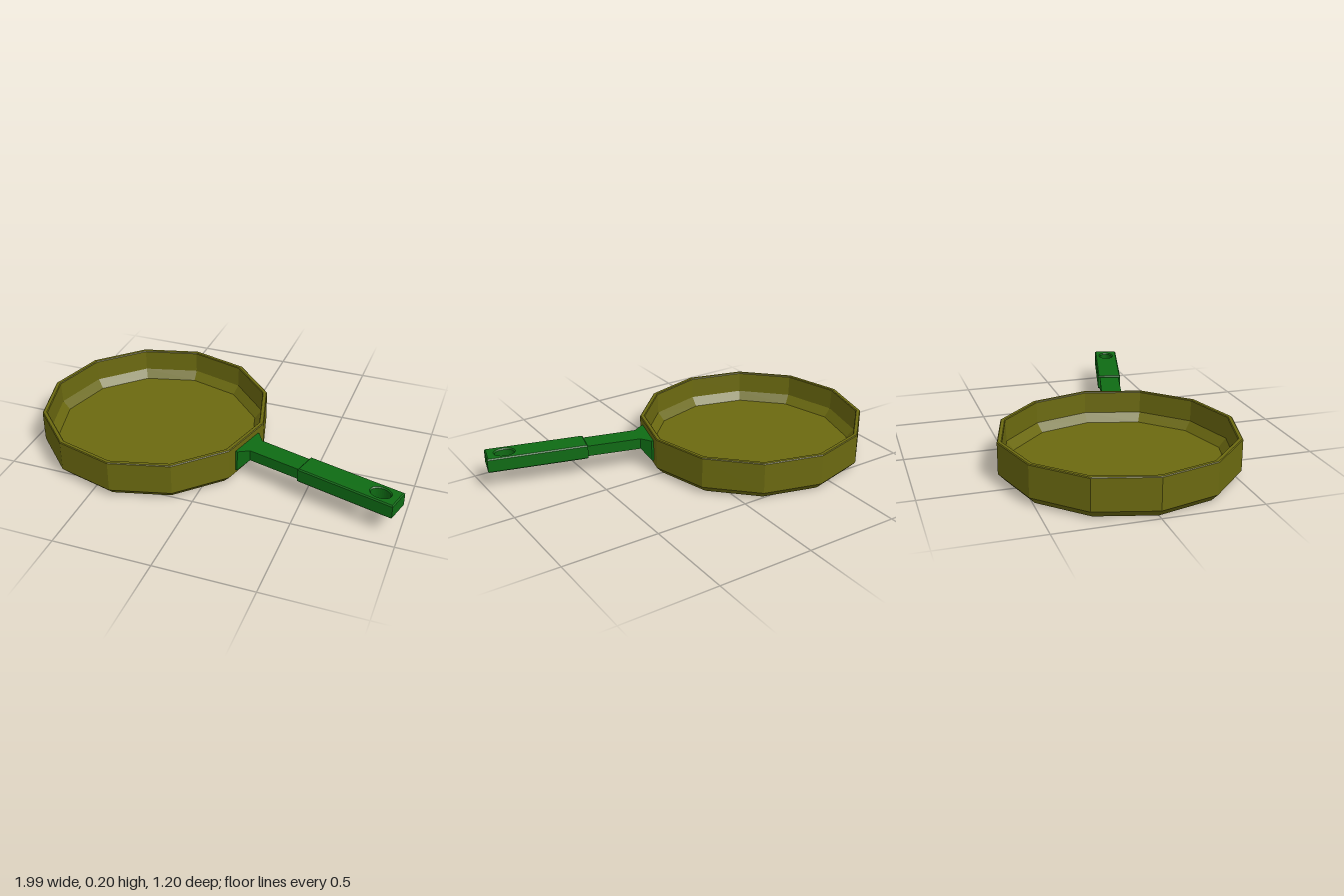
import * as THREE from 'three';

const panMat = new THREE.MeshStandardMaterial({ color: 0x6b6910, flatShading: true });
const handleMat = new THREE.MeshStandardMaterial({ color: 0x0f6b14, flatShading: true });

function part(name, geometry, material) {
  const mesh = new THREE.Mesh(geometry, material);
  mesh.name = name;
  return mesh;
}

// Closed loft along x through rectangles [x, halfWidth, yBottom, yTop]
function loftRects(sections) {
  const pos = [], index = [];
  for (const [x, w, y0, y1] of sections) {
    pos.push(x, y0, w, x, y0, -w, x, y1, -w, x, y1, w);
  }
  const last = (sections.length - 1) * 4;
  for (let i = 0; i < last; i += 4) {
    for (let j = 0; j < 4; j++) {
      const k = (j + 1) % 4;
      index.push(i + j, i + k, i + 4 + k, i + j, i + 4 + k, i + 4 + j);
    }
  }
  index.push(0, 2, 1, 0, 3, 2, last, last + 1, last + 2, last, last + 2, last + 3);
  const g = new THREE.BufferGeometry();
  g.setAttribute('position', new THREE.Float32BufferAttribute(pos, 3));
  g.setIndex(index);
  const flat = g.toNonIndexed();
  flat.computeVertexNormals();
  return flat;
}

// Rounded-edge grip with a hanging hole near its end
function gripGeometry() {
  const bevel = 0.006, x0 = 0.917, x1 = 1.427, w = 0.064, y0 = 0.1, y1 = 0.176;
  const a = x0 + bevel, b = x1 - bevel, h = w - bevel;
  const shape = new THREE.Shape();
  shape.moveTo(a, -h).lineTo(b, -h).lineTo(b, h).lineTo(a, h).closePath();
  const hole = new THREE.Path();
  hole.absellipse(1.333, 0, 0.05 + bevel, 0.037 + bevel, 0, Math.PI * 2, true);
  shape.holes.push(hole);
  const g = new THREE.ExtrudeGeometry(shape, {
    depth: y1 - y0 - 2 * bevel, bevelEnabled: true, bevelSize: bevel,
    bevelThickness: bevel, bevelSegments: 1, curveSegments: 16,
  });
  g.rotateX(Math.PI / 2);
  g.translate(0, y1 - bevel, 0);
  return g;
}

export function createModel() {
  const model = new THREE.Group();
  model.name = 'fryingPan';

  const pan = new THREE.Group();
  pan.name = 'panAssembly';
  pan.position.x = -0.4;
  model.add(pan);

  // Twelve-sided dish: underside, chamfer, outer wall, rim, inner wall, floor
  const profile = [
    [0, 0], [0.565, 0], [0.6, 0.037], [0.6, 0.196], [0.596, 0.2], [0.579, 0.2],
    [0.575, 0.196], [0.572, 0.085], [0.535, 0.04], [0, 0.04],
  ].map(([r, y]) => new THREE.Vector2(r, y));
  pan.add(part('dish', new THREE.LatheGeometry(profile, 12), panMat));

  // Handle leaves the middle of one of the twelve sides
  const handle = new THREE.Group();
  handle.name = 'handle';
  handle.rotation.y = -Math.PI / 12;
  handle.add(
    part('bracketAndNeck', loftRects([
      [0.577, 0.102, 0.055, 0.167],
      [0.59, 0.1, 0.055, 0.167],
      [0.637, 0.055, 0.11, 0.167],
      [0.93, 0.053, 0.11, 0.167],
    ]), handleMat),
    part('grip', gripGeometry(), handleMat),
  );
  pan.add(handle);

  return model;
}
